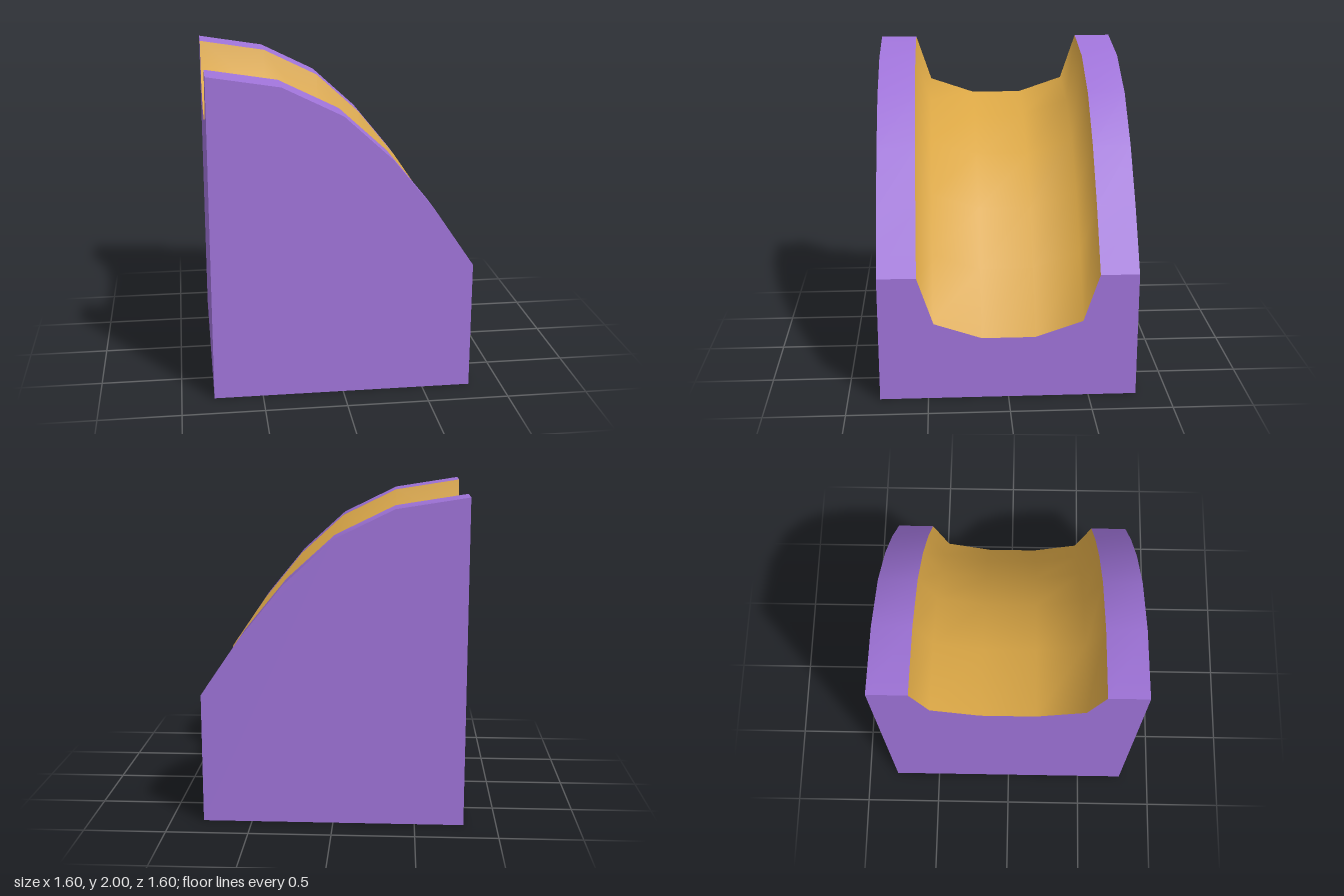
import * as THREE from 'three';

// Ridge line of the block, from the high end to the low end (x, y)
const RIDGE = [[-0.8, 2], [-0.365, 1.93], [0, 1.75], [0.295, 1.48], [0.555, 1.16], [0.8, 0.8]];
// Channel cross-section (z, drop below the ridge)
const CHANNEL = [[0.56, 0], [0.46, 0.3], [0.165, 0.4], [-0.165, 0.4], [-0.46, 0.3], [-0.56, 0]];
const HALF = 0.8;

// Smooth surface made by sliding a cross-section along the ridge
function sweep(section) {
  const pos = [], index = [], n = section.length;
  RIDGE.forEach(([x, y], i) => section.forEach(([z, drop], j) => {
    pos.push(x, y - drop, z);
    if (i < RIDGE.length - 1 && j < n - 1) {
      const a = i * n + j, b = a + n;
      index.push(a, b, a + 1, b, b + 1, a + 1);
    }
  }));
  const geo = new THREE.BufferGeometry();
  geo.setAttribute('position', new THREE.Float32BufferAttribute(pos, 3));
  geo.setIndex(index);
  geo.computeVertexNormals();
  return geo;
}

// Flat wall from an outline, pushed out and turned about y
function wall(points, angle) {
  const shape = new THREE.Shape(points.map(([u, v]) => new THREE.Vector2(u, v)));
  return new THREE.ShapeGeometry(shape).translate(0, 0, HALF).rotateY(angle);
}

export function createModel() {
  const purple = new THREE.MeshStandardMaterial({ color: 0xa074da });
  purple.name = 'purple block';
  const gold = new THREE.MeshStandardMaterial({ color: 0xdca846 });
  gold.name = 'golden channel';

  const model = new THREE.Group();
  model.name = 'curvedChannelBlock';
  const add = (name, geo, mat) => {
    const mesh = new THREE.Mesh(geo, mat);
    mesh.name = name;
    model.add(mesh);
  };

  // Curved channel and the rims on both sides of it
  add('channel', sweep(CHANNEL), gold);
  add('frontRim', sweep([[HALF, 0], [0.56, 0]]), purple);
  add('backRim', sweep([[-0.56, 0], [-HALF, 0]]), purple);

  // Front and back walls follow the ridge
  const side = [[-HALF, 0], [HALF, 0], ...[...RIDGE].reverse()];
  add('frontWall', wall(side, 0), purple);
  add('backWall', wall(side.map(([x, y]) => [-x, y]), Math.PI), purple);

  // End walls are notched by the channel
  const end = (top) => [[-HALF, 0], [HALF, 0], [HALF, top],
    ...CHANNEL.map(([z, drop]) => [z, top - drop]), [-HALF, top]];
  add('lowEnd', wall(end(0.8), Math.PI / 2), purple);
  add('highEnd', wall(end(2), -Math.PI / 2), purple);

  // Underside
  add('base', new THREE.PlaneGeometry(2 * HALF, 2 * HALF).rotateX(Math.PI / 2), purple);
  return model;
}
